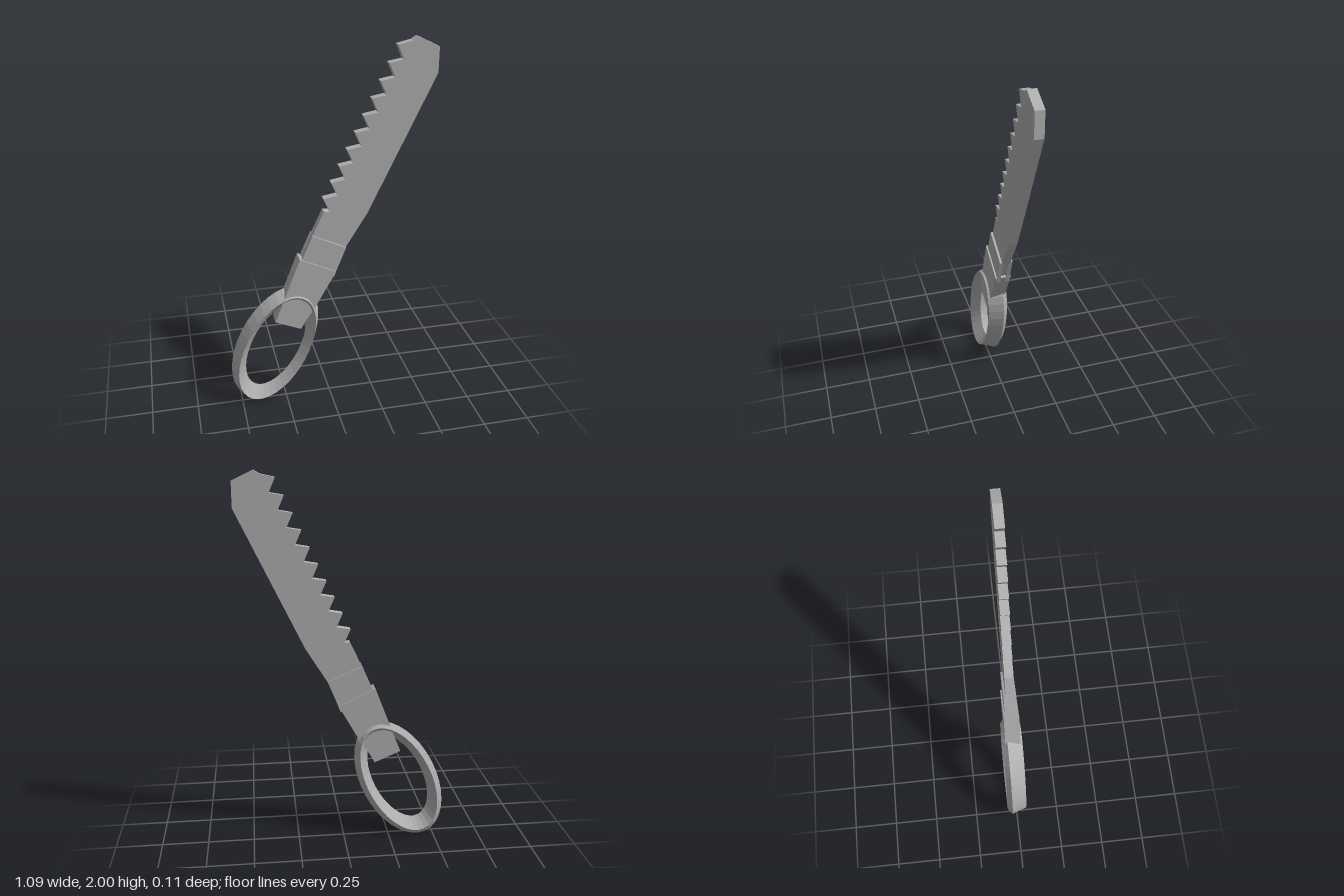
import * as THREE from 'three';

const steel = new THREE.MeshStandardMaterial({ color: 0xb0b0b0, flatShading: true });
steel.name = 'grey steel';

// Flat plate cut from a front outline, spanning z0 to z1
function plate(name, points, z0, z1) {
  const shape = new THREE.Shape(points.map(([x, y]) => new THREE.Vector2(x, y)));
  const geometry = new THREE.ExtrudeGeometry(shape, { depth: z1 - z0, bevelEnabled: false });
  geometry.translate(0, 0, z0);
  const mesh = new THREE.Mesh(geometry, steel);
  mesh.name = name;
  return mesh;
}

// Oval ring: a four-sided section [half width, half height, z] swept round an ellipse
function ovalRing(section, segments) {
  const positions = [], index = [], n = section.length;
  for (let i = 0; i < segments; i++) {
    const t = (i / segments) * Math.PI * 2;
    for (const [rx, ry, z] of section) positions.push(rx * Math.cos(t), ry * Math.sin(t), z);
    for (let j = 0; j < n; j++) {
      const a = i * n + j, b = i * n + ((j + 1) % n);
      const k = ((i + 1) % segments) * n;
      const c = k + j, d = k + ((j + 1) % n);
      index.push(a, c, b, b, c, d);
    }
  }
  const geometry = new THREE.BufferGeometry();
  geometry.setAttribute('position', new THREE.Float32BufferAttribute(positions, 3));
  geometry.setIndex(index);
  geometry.computeVertexNormals();
  return geometry;
}

export function createModel() {
  const model = new THREE.Group();
  model.name = 'saw';

  // Blade: straight back, clipped tip and a row of ten hooked teeth
  const outline = [[-0.11, 0.74], [0, 0.76], [0.085, 0.915], [0.2, 1.1],
    [0.546, 1.82], [0.546, 1.948], [0.437, 2], [0.41, 1.982]];
  for (let i = 0; i < 10; i++) {
    const x = 0.335 - i * 0.041, y = 1.965 - i * 0.085;
    outline.push([x, y], [x + 0.032, y - 0.072]);
  }
  outline.push([-0.032, 1.13], [-0.095, 0.995], [-0.148, 0.875]);
  model.add(plate('blade', outline, -0.023, 0.023));

  // Clamp: a cheek on either side of the blade
  const clamp = [[-0.18, 0.81], [0.02, 0.75], [0.038, 0.8], [0.086, 0.918], [-0.095, 1.002], [-0.152, 0.87]];
  model.add(plate('frontClamp', clamp, 0.015, 0.034));
  model.add(plate('backClamp', clamp, -0.034, -0.015));

  // Handle block with the tab that reaches into the ring
  model.add(plate('handle', [[-0.305, 0.515], [-0.165, 0.455], [-0.14, 0.5], [-0.08, 0.59],
    [0.03, 0.785], [-0.165, 0.877], [-0.245, 0.67], [-0.275, 0.59]], -0.042, 0.042));

  // Oval grip ring, tilted in line with the blade
  const ring = new THREE.Mesh(ovalRing([
    [0.206, 0.369, -0.03], [0.175, 0.337, 0.054], [0.135, 0.27, 0], [0.175, 0.337, -0.056],
  ], 36), steel);
  ring.name = 'gripRing';
  ring.position.set(-0.301, 0.346, 0);
  ring.rotation.z = THREE.MathUtils.degToRad(-26.4);
  model.add(ring);

  return model;
}
